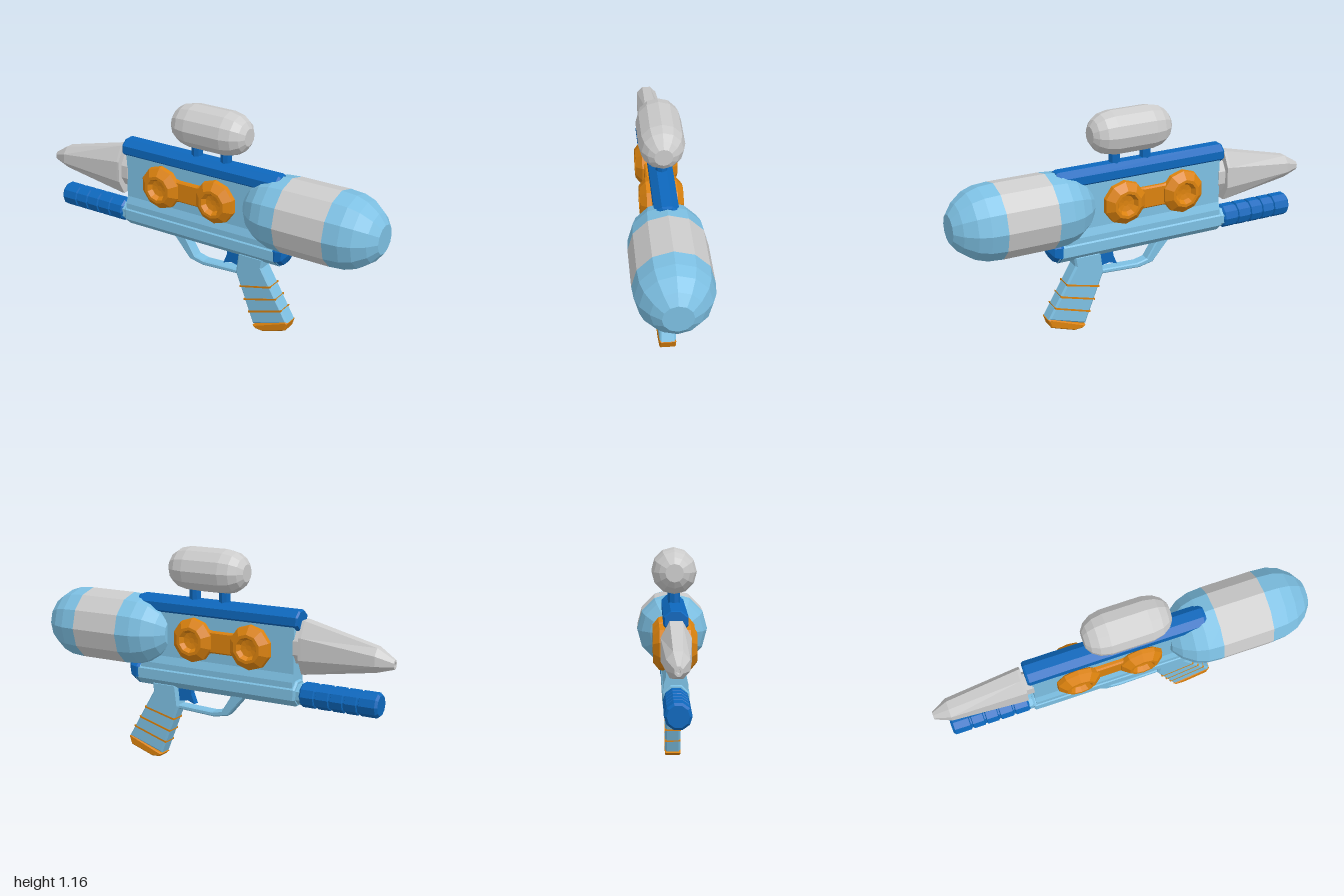
import * as THREE from 'three';

const LIGHT = 0x7dc0e3, BLUE = 0x0d68bd, ORANGE = 0xdb820e, GREY = 0xcccccc;

// Faceted solid along x from sections [x, radius y, radius z, centre y]
function loft(sections, sides, phase = 0) {
  const pos = [];
  const point = (s, j) => {
    const a = phase + (j / sides) * Math.PI * 2;
    return [s[0], (s[3] ?? 0) + s[1] * Math.cos(a), (s[2] ?? s[1]) * Math.sin(a)];
  };
  const first = sections[0], last = sections[sections.length - 1];
  for (let j = 0; j < sides; j++) {
    for (let i = 0; i < sections.length - 1; i++) {
      const a = point(sections[i], j), b = point(sections[i], j + 1);
      const c = point(sections[i + 1], j), d = point(sections[i + 1], j + 1);
      pos.push(...a, ...b, ...c, ...b, ...d, ...c);
    }
    pos.push(first[0], first[3] ?? 0, 0, ...point(first, j + 1), ...point(first, j));
    pos.push(last[0], last[3] ?? 0, 0, ...point(last, j), ...point(last, j + 1));
  }
  const g = new THREE.BufferGeometry();
  g.setAttribute('position', new THREE.Float32BufferAttribute(pos, 3));
  g.computeVertexNormals();
  return g;
}

// Side outline in x/y, thickened evenly about z = 0 with chamfered edges
function plate(points, halfWidth, bevel = 0) {
  const shape = new THREE.Shape(points.map(p => new THREE.Vector2(...p)));
  const g = new THREE.ExtrudeGeometry(shape, {
    depth: 2 * (halfWidth - bevel), bevelEnabled: bevel > 0, bevelSize: bevel,
    bevelThickness: bevel, bevelOffset: -bevel, bevelSegments: 1,
  });
  return g.translate(0, 0, bevel - halfWidth);
}

export function createModel() {
  const model = new THREE.Group();
  const mats = {};
  const add = (name, geometry, color, y = 0) => {
    mats[color] ??= new THREE.MeshStandardMaterial({ color, flatShading: true });
    const mesh = new THREE.Mesh(geometry, mats[color]);
    mesh.name = name;
    mesh.position.y = y;
    model.add(mesh);
    return mesh;
  };
  const OCT = Math.PI / 8, K = 1 / Math.cos(OCT); // flat-topped octagons

  // Body slab with a flared foot, extruded along x
  const half = [[0.06, 0.5], [0.06, 0.53], [0.047, 0.57], [0.047, 0.84]];
  const outline = [...half, ...half.slice().reverse().map(([z, y]) => [-z, y])];
  const slab = new THREE.ExtrudeGeometry(
    new THREE.Shape(outline.map(p => new THREE.Vector2(...p))), { depth: 0.9, bevelEnabled: false });
  slab.rotateY(Math.PI / 2).translate(-0.485, 0, 0);
  add('body', slab, LIGHT);

  // Lower barrel, rear cap and top rail
  add('lowerBarrel', loft([[-0.5, 0.06 * K], [-0.49, 0.065 * K], [0.45, 0.065 * K]], 8, OCT), LIGHT, 0.465);
  add('rearCap', loft([[0.4, 0.06, 0.06], [0.44, 0.068 * K, 0.068 * K], [0.475, 0.058 * K, 0.064 * K, 0.008],
    [0.502, 0.03, 0.035, 0.025]], 8, OCT), BLUE, 0.468);
  add('topRail', loft([[-0.507, 0.045 * K, 0.053 * K], [-0.497, 0.05 * K, 0.06 * K],
    [0.425, 0.05 * K, 0.06 * K], [0.44, 0.045 * K, 0.053 * K]], 8, OCT), BLUE, 0.838);

  // Main tank: coloured domes on a grey band
  const dome = [[0.373, 0.075], [0.335, 0.125], [0.275, 0.17], [0.215, 0.19], [0.135, 0.196]];
  const mirror = list => list.map(([x, r]) => [-x, r]);
  const shift = (list, cx) => list.map(([x, r]) => [x + cx, r]);
  add('tankFrontDome', loft(shift(mirror(dome), 0.626), 12), LIGHT, 0.69);
  add('tankBand', loft(shift([[-0.135, 0.196], [0.135, 0.196]], 0.626), 12), GREY, 0.69);
  add('tankRearDome', loft(shift(dome.slice().reverse(), 0.626), 12), LIGHT, 0.69);

  // Small upper tank on two posts
  const end = [[0.22, 0.046], [0.198, 0.078], [0.16, 0.103], [0.105, 0.115]];
  add('upperTank', loft(shift([...mirror(end), ...end.slice().reverse()], 0.025), 12), GREY, 1.045);
  for (const x of [-0.065, 0.11]) {
    add('tankPost', new THREE.CylinderGeometry(0.03, 0.03, 0.12, 8), BLUE, 0.91).position.x = x;
  }

  // Nozzle with a recessed mouth, and its collar
  add('nozzle', loft([[-0.975, 0.01, 0.008, 0.675], [-1, 0.013, 0.01, 0.675], [-1, 0.025, 0.02, 0.675],
    [-0.915, 0.066, 0.058, 0.69], [-0.535, 0.147, 0.08, 0.707], [-0.52, 0.147, 0.08, 0.707],
    [-0.52, 0.12, 0.065, 0.707]], 8, OCT), GREY);
  add('nozzleCollar', loft([[-0.53, 0.09, 0.055], [-0.48, 0.09, 0.055]], 8, OCT), GREY, 0.705);

  // Pump handle: ribs separated by narrow grooves
  const pump = [[-0.937, 0.052], [-0.925, 0.064]];
  for (const x of [-0.835, -0.76, -0.685, -0.605]) {
    pump.push([x - 0.008, 0.064], [x - 0.004, 0.056], [x + 0.004, 0.056], [x + 0.008, 0.064]);
  }
  pump.push([-0.53, 0.064], [-0.52, 0.055]);
  add('pumpHandle', loft(pump, 10, Math.PI / 10), BLUE, 0.463);
  add('pumpCollar', loft([[-0.53, 0.056], [-0.48, 0.056]], 8, OCT), LIGHT, 0.463);

  // Dished side discs and the bars joining them
  const disc = [[0, 0.1], [0.04, 0.1], [0.055, 0.118], [0.078, 0.115], [0.11, 0.076],
    [0.11, 0.06], [0.085, 0.045], [0.08, 0.015]];
  for (const side of [1, -1]) {
    for (const x of [-0.25, 0.085]) {
      const mesh = add('sideDisc', loft(disc, 10), ORANGE, 0.682);
      mesh.position.x = x;
      mesh.rotation.y = -side * Math.PI / 2;
    }
    const bar = plate([[-0.25, 0.605], [-0.14, 0.625], [-0.025, 0.625], [0.085, 0.605],
      [0.085, 0.76], [-0.025, 0.74], [-0.14, 0.74], [-0.25, 0.76]], 0.02, 0.008);
    add('discBar', bar, ORANGE).position.z = side * 0.05;
  }

  // Trigger and guard
  add('triggerGuard', plate([[-0.2, 0.41], [-0.1, 0.292], [-0.02, 0.275], [0.23, 0.288], [0.23, 0.312],
    [-0.01, 0.302], [-0.065, 0.315], [-0.125, 0.41]], 0.03, 0.006), LIGHT);
  add('trigger', plate([[0.13, 0.41], [0.128, 0.375], [0.107, 0.322], [0.15, 0.338], [0.2, 0.33],
    [0.23, 0.35], [0.23, 0.41]], 0.018), BLUE);

  // Grip, wrapped stripes and butt
  add('grip', plate([[0.21, 0.42], [0.195, 0.3], [0.303, 0.025], [0.51, 0.092], [0.352, 0.365],
    [0.36, 0.42]], 0.042, 0.01), LIGHT);
  add('gripButt', plate([[0.303, 0.018], [0.318, 0.003], [0.365, 0], [0.497, 0.045], [0.512, 0.09],
    [0.5, 0.096]], 0.043, 0.006), ORANGE);
  for (const [x0, y0, x1, y1] of [[0.222, 0.227, 0.406, 0.272], [0.25, 0.158, 0.44, 0.212],
    [0.276, 0.092, 0.474, 0.154]]) {
    add('gripStripe', plate([[x0, y0 - 0.005], [x1, y1 - 0.005], [x1, y1 + 0.005], [x0, y0 + 0.005]],
      0.043), ORANGE);
  }
  return model;
}
